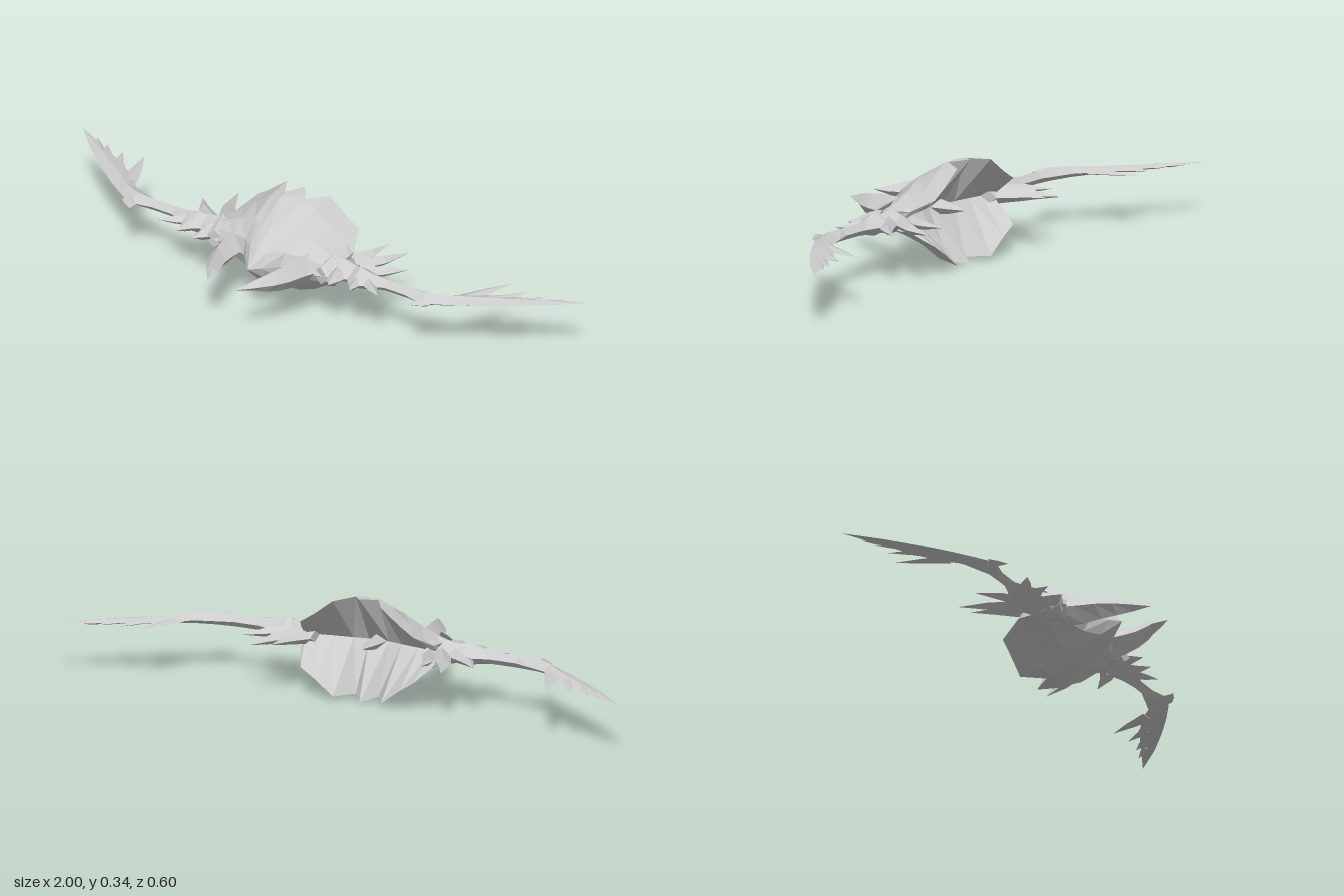
import * as THREE from 'three';

const MID = 0.175; // height of the horizontal symmetry plane

// Triangles -> flat geometry, wound outward by signed volume
function solid(tris) {
  let vol = 0;
  const n = new THREE.Vector3();
  for (const [a, b, c] of tris) vol += a.dot(n.crossVectors(b, c));
  const pos = [];
  for (const [a, b, c] of tris) {
    for (const p of vol < 0 ? [a, c, b] : [a, b, c]) pos.push(p.x, p.y, p.z);
  }
  const g = new THREE.BufferGeometry();
  g.setAttribute('position', new THREE.Float32BufferAttribute(pos, 3));
  g.computeVertexNormals();
  return g;
}

// Skin between neighbouring rings of points, with end caps
function skin(rings, closed) {
  const tris = [];
  const n = rings[0].length;
  for (let i = 0; i < rings.length - 1; i++) {
    for (let j = 0; j < (closed ? n : n - 1); j++) {
      const k = (j + 1) % n;
      const a = rings[i][j], b = rings[i][k], c = rings[i + 1][k], d = rings[i + 1][j];
      tris.push([a, b, c], [a, c, d]);
    }
  }
  const cap = (r, flip) => {
    for (let j = 1; j < n - 1; j++) tris.push(flip ? [r[0], r[j + 1], r[j]] : [r[0], r[j], r[j + 1]]);
  };
  if (closed) cap(rings[0], true);
  cap(rings[rings.length - 1], false);
  return tris;
}

const V = (x, y, z) => new THREE.Vector3(x, y, z);

// Diamond-section blade; each station is [frontX, frontZ, backX, backZ, halfHeight]
function blade(stations) {
  return skin(stations.map(([fx, fz, bx, bz, h]) => {
    const mx = (fx + bx) / 2, mz = (fz + bz) / 2;
    return [V(fx, 0, fz), V(mx, h, mz), V(bx, 0, bz), V(mx, -h, mz)];
  }), true);
}

// Diamond-section thorn from base to tip, bowed sideways in the middle by bend
function thorn([bx, by, bz], [tx, ty, tz], w, h, bend = 0) {
  const l = Math.hypot(tx - bx, tz - bz);
  const px = -(tz - bz) / l, pz = (tx - bx) / l;
  const ring = (x, y, z, s) => [
    V(x + px * w * s, y, z + pz * w * s), V(x, y + h * s, z),
    V(x - px * w * s, y, z - pz * w * s), V(x, y - h * s, z),
  ];
  return skin([
    ring(bx, by, bz, 1),
    ring((bx + tx) / 2 + px * bend, (by + ty) / 2, (bz + tz) / 2 + pz * bend, 0.65),
    ring(tx, ty, tz, 0),
  ], true);
}

export function createModel() {
  const model = new THREE.Group();
  const grey = new THREE.MeshStandardMaterial({ color: 0xcccccc, flatShading: true, side: THREE.DoubleSide });
  grey.name = 'paleGrey';

  // Adds a part for each requested combination of mirrored sides
  function add(name, tris, mirrorX = true, mirrorY = false) {
    for (const sx of mirrorX ? [1, -1] : [1]) {
      for (const sy of mirrorY ? [1, -1] : [1]) {
        const s = V(sx, sy, 1);
        const mesh = new THREE.Mesh(solid(tris.map((t) => t.map((p) => p.clone().multiply(s)))), grey);
        mesh.position.y = MID;
        mesh.name = name;
        model.add(mesh);
      }
    }
  }

  // Shell quarter: columns from centre to side, each from nose over the rear rim to the inner hollow
  const shell = [
    [[0, 0, .165], [0, .05, .115], [0, .095, .05], [0, .162, -.08], [0, .17, -.14], [0, 0, 0]],
    [[.03, 0, .135], [.035, .047, .105], [.037, .092, .045], [.038, .155, -.065], [.04, .16, -.085], [.035, 0, 0]],
    [[.07, 0, .09], [.08, .045, .07], [.085, .096, .01], [.085, .143, -.08], [.085, .157, -.155], [.085, 0, -.01]],
    [[.14, 0, .07], [.145, .038, .05], [.15, .07, 0], [.15, .093, -.08], [.152, .106, -.155], [.15, 0, -.02]],
    [[.2, 0, .06], [.2, .03, .045], [.2, .047, 0], [.2, .058, -.08], [.2, .075, -.155], [.2, 0, -.03]],
    [[.24, 0, .04], [.24, .015, .03], [.24, .032, 0], [.24, .033, -.05], [.235, .033, -.08], [.235, 0, -.05]],
  ];
  add('shell', skin(shell.map((c) => c.map((p) => V(...p))), false), true, true);

  // Small tail inside the rear hollow
  add('tail', thorn([0, 0, .01], [0, 0, -.12], .03, .03), false);

  // Curved front mandibles
  add('mandible', blade([
    [.09, .05, .2, .02, .05], [.092, .115, .175, .085, .048], [.088, .165, .158, .15, .039],
    [.075, .205, .135, .2, .03], [.06, .24, .098, .25, .016], [.058, .298, .058, .298, 0],
  ]));

  // Shoulder and armoured joint
  add('shoulder', blade([
    [.19, .07, .2, -.09, .045], [.25, .05, .25, -.085, .04], [.3, .025, .3, -.06, .03], [.35, .015, .35, -.04, .02],
  ]));
  add('shoulderJoint', blade([
    [.28, .02, .29, -.055, .028], [.325, .06, .315, -.07, .038], [.36, .035, .36, -.05, .028], [.42, .005, .41, -.035, .018],
  ]));

  // Broad crescent thorns around the shoulder: base, tip, half width, half height, bend
  const thorns = [
    [[.25, 0, -.06], [.34, 0, -.24], .032, .026, .012],
    [[.22, 0, -.08], [.265, .01, -.235], .026, .022, .01],
    [[.29, 0, -.04], [.41, 0, -.145], .03, .024, .01],
    [[.25, 0, .02], [.268, 0, .096], .035, .03, 0],
    [[.325, 0, .02], [.342, 0, .085], .024, .022, 0],
    [[.36, 0, .01], [.435, 0, .06], .022, .018, 0],
  ];
  for (const t of thorns) add('shoulderThorn', thorn(...t));
  // Raised thorn above and below
  add('raisedThorn', thorn([.21, .01, .06], [.225, .06, -.01], .025, .02), true, true);

  // Wing: arm, elbow and swept blade
  add('wing', blade([
    [.34, .025, .34, -.05, .025], [.42, .005, .41, -.035, .02], [.5, .005, .5, -.035, .02],
    [.575, .022, .56, -.055, .022], [.64, -.015, .62, -.075, .018], [.71, -.06, .67, -.125, .013],
    [.8, -.125, .755, -.18, .009], [.9, -.205, .86, -.232, .006], [1, -.3, 1, -.3, 0],
  ]));
  add('elbowHook', thorn([.585, 0, 0], [.55, 0, .052], .028, .016));

  // Trailing feathers
  const feathers = [
    [[.665, -.095], [.725, -.258], .028],
    [[.73, -.13], [.77, -.2], .022],
    [[.75, -.145], [.8, -.245], .02],
    [[.81, -.175], [.87, -.255], .02],
    [[.86, -.21], [.925, -.275], .014],
  ];
  for (const [b, t, w] of feathers) add('wingFeather', thorn([b[0], 0, b[1]], [t[0], 0, t[1]], w, .009));

  return model;
}
